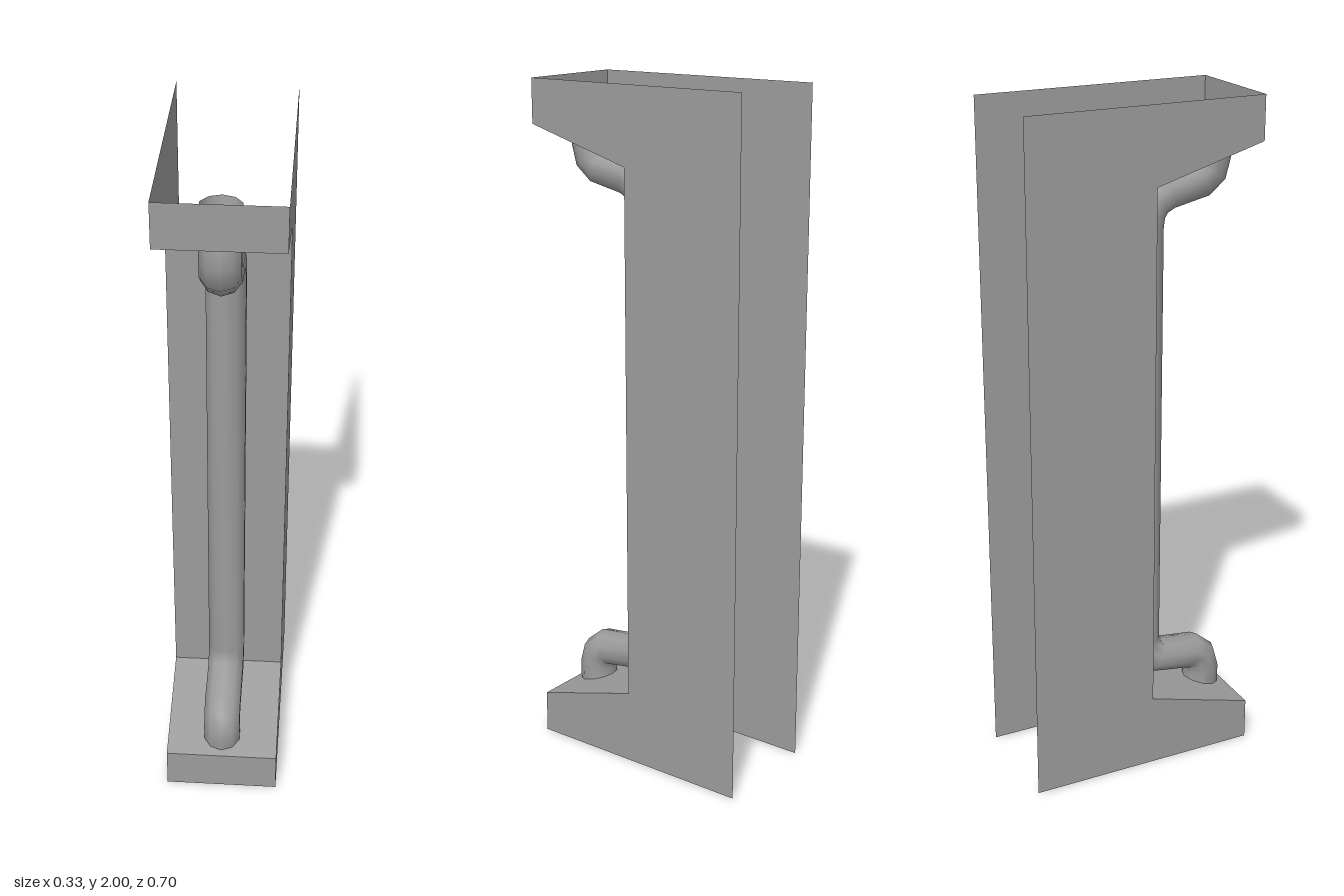
import * as THREE from 'three';

const W = 0.167; // half width of the housing
const D = 0.352; // half depth of the housing

function addMesh(group, name, geometry) {
  const material = new THREE.MeshStandardMaterial({ color: 0x9c9c9c, side: THREE.DoubleSide });
  const mesh = new THREE.Mesh(geometry, material);
  mesh.name = name;
  group.add(mesh);
}

// Flat panel across the width between two [z, y] profile points
function panel([z0, y0], [z1, y1]) {
  const g = new THREE.BufferGeometry();
  g.setAttribute('position', new THREE.Float32BufferAttribute(
    [-W, y0, z0, W, y0, z0, -W, y1, z1, W, y1, z1], 3));
  g.setIndex([0, 2, 1, 1, 2, 3]);
  g.computeVertexNormals();
  return g;
}

// Open pipe: rings mitred along a path of [z, y] points, running downwards
function pipe(path, r, sides) {
  const pts = path.map(([z, y]) => new THREE.Vector2(z, y));
  const dir = i => pts[i + 1].clone().sub(pts[i]).normalize();
  const positions = [], index = [];
  pts.forEach((p, i) => {
    const end = i === 0 || i === pts.length - 1;
    const t = end ? new THREE.Vector2(0, -1) : dir(i - 1).add(dir(i)).normalize();
    for (let j = 0; j < sides; j++) {
      const a = Math.PI / 2 + (j / sides) * Math.PI * 2;
      const n = Math.sin(a) * r;
      positions.push(-0.0025 + Math.cos(a) * r, p.y + t.x * n, p.x - t.y * n);
      if (i === pts.length - 1) continue;
      const q = i * sides + j, s = i * sides + (j + 1) % sides;
      index.push(q, s, q + sides, s, s + sides, q + sides);
    }
  });
  const g = new THREE.BufferGeometry();
  g.setAttribute('position', new THREE.Float32BufferAttribute(positions, 3));
  g.setIndex(index);
  g.computeVertexNormals();
  return g;
}

export function createModel() {
  const model = new THREE.Group();
  model.name = 'recessedPullHandle';

  // Front profile, top to bottom
  const profile = [[D, 2], [D, 1.874], [0.028, 1.78], [0.028, 0.22], [D, 0.126], [D, 0]];
  const names = ['topFrontPanel', 'topSlope', 'recessWall', 'bottomSlope', 'bottomFrontPanel'];
  names.forEach((name, i) => addMesh(model, name, panel(profile[i], profile[i + 1])));

  // C-shaped side sheets
  const side = new THREE.Shape([[-D, 2], ...profile, [-D, 0]].map(([z, y]) => new THREE.Vector2(z, y)));
  for (const [name, x] of [['leftSide', W], ['rightSide', -W]])
    addMesh(model, name, new THREE.ShapeGeometry(side).rotateY(-Math.PI / 2).translate(x, 0, 0));

  // Bent pipe: both open ends lean back behind the slopes, the straight run sinks into the wall
  const bend = [[0.26, 1.95], [0.279, 1.85], [0.279, 1.81], [0.27, 1.772], [0.24, 1.748]];
  const path = [
    ...bend, [0.135, 1.726], [0.098, 1.705], [0.078, 1.675], [0.071, 1.635],
    [0.071, 0.33], [0.11, 0.27], ...bend.map(([z, y]) => [z, 2 - y]).reverse(),
  ];
  addMesh(model, 'pipe', pipe(path, 0.0565, 10));
  return model;
}
